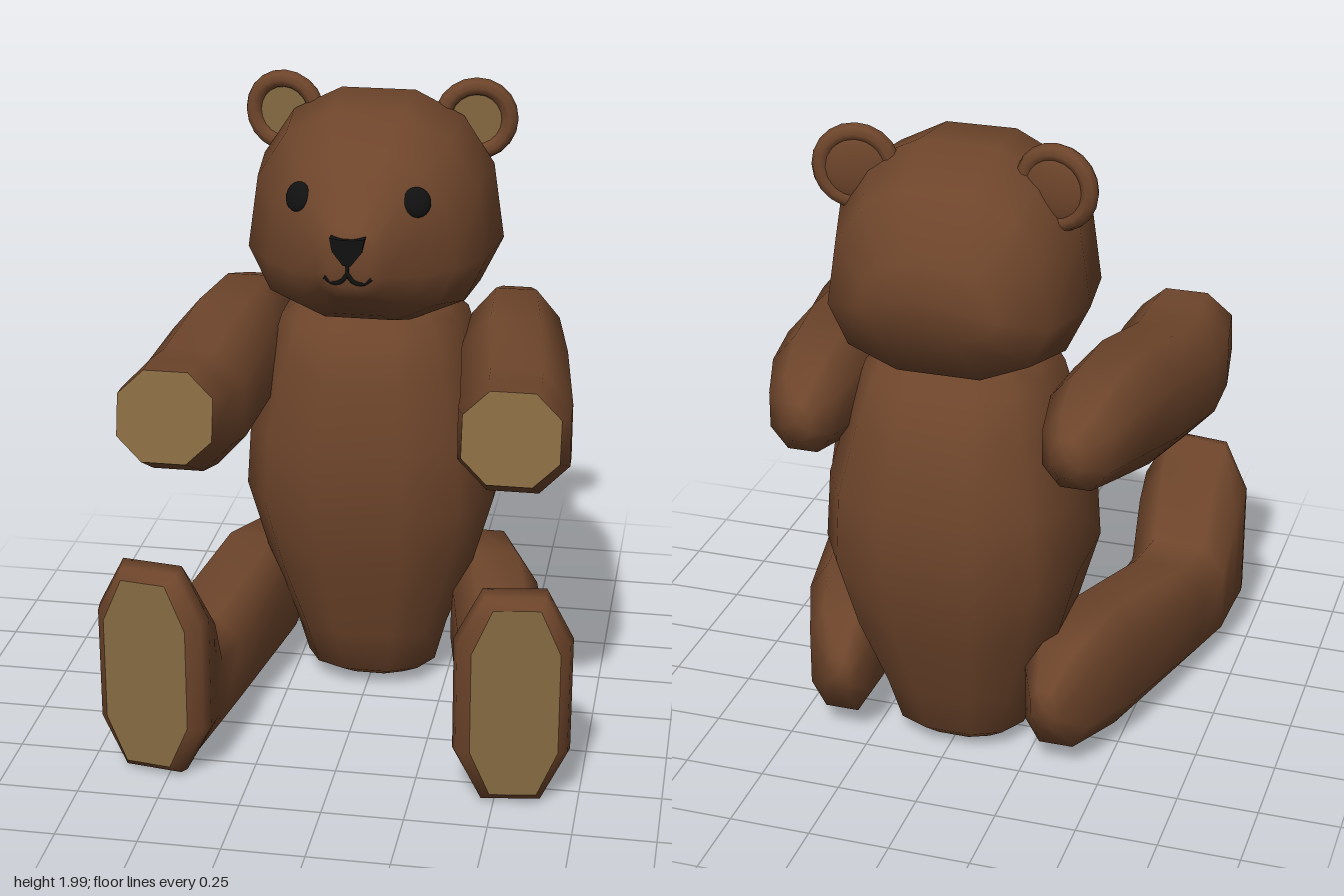
import * as THREE from 'three';

const fur = new THREE.MeshStandardMaterial({ color: 0x6e452b });
const felt = new THREE.MeshStandardMaterial({ color: 0x866a42, side: THREE.DoubleSide });
const black = new THREE.MeshStandardMaterial({ color: 0x111111 });

// Rounded ring around +z. Section: [z, cx, cy, rx, ry, pitch, yaw]
function ring([z, cx, cy, rx, ry, pitch = 0, yaw = 0], { sides, power, taper = 0 }) {
  const bend = (v) => Math.sign(v) * Math.abs(v) ** (2 / power);
  const step = (Math.PI * 2) / sides;
  const max = bend(Math.cos(step / 2));
  return Array.from({ length: sides }, (_, i) => {
    const v = bend(Math.sin((i + 0.5) * step)) / max;
    const u = (bend(Math.cos((i + 0.5) * step)) / max) * (1 - taper * v);
    return new THREE.Vector3(cx + rx * u, cy + ry * v, z - ry * v * pitch - rx * u * yaw);
  });
}

// Smooth skin through the sections, with closed ends
function loft(sections, shape, openEnd = false) {
  const n = shape.sides, last = sections.length - 1;
  const points = sections.flatMap((s) => ring(s, shape));
  const index = [];
  for (let k = 0; k < last; k++) {
    for (let i = 0; i < n; i++) {
      const j = (i + 1) % n;
      const a = k * n + i, b = k * n + j;
      index.push(a, b, a + n, b, b + n, a + n);
    }
  }
  const cap = (s, k, flip) => {
    const c = points.length;
    points.push(new THREE.Vector3(s[1], s[2], s[0]));
    for (let i = 0; i < n; i++) {
      const a = k * n + i, b = k * n + ((i + 1) % n);
      index.push(c, flip ? b : a, flip ? a : b);
    }
  };
  cap(sections[0], 0, true);
  if (!openEnd) cap(sections[last], last, false);
  const g = new THREE.BufferGeometry().setFromPoints(points);
  g.setIndex(index);
  g.computeVertexNormals();
  return g;
}

// Flat felt pad filling one section
function padGeometry(section, shape) {
  const pts = ring(section, shape);
  const index = [];
  for (let i = 1; i < pts.length - 1; i++) index.push(0, i, i + 1);
  const g = new THREE.BufferGeometry().setFromPoints(pts);
  g.setIndex(index);
  g.computeVertexNormals();
  return g;
}

function add(parent, name, geometry, material) {
  const mesh = new THREE.Mesh(geometry, material);
  mesh.name = name;
  parent.add(mesh);
  return mesh;
}

// Limb running forward, ending in a felt pad
function limb(parent, name, sections, shape, side) {
  const group = new THREE.Group();
  group.name = name;
  const s = sections.map(([z, cx, cy, rx, ry, p = 0, w = 0]) => [z, cx * side, cy, rx, ry, p, w * side]);
  add(group, name + 'Fur', loft(s, shape, true), fur);
  add(group, name + 'Pad', padGeometry(s[s.length - 1], shape), felt);
  parent.add(group);
}

export function createModel() {
  const bear = new THREE.Group();
  bear.name = 'teddyBear';

  // Body, lofted upward: [y, 0, -z, half width, half depth]
  const body = loft([
    [0.02, 0, 0.26, 0.14, 0.12],
    [0.07, 0, 0.25, 0.21, 0.19],
    [0.22, 0, 0.25, 0.25, 0.24],
    [0.45, 0, 0.26, 0.335, 0.315],
    [0.68, 0, 0.265, 0.4, 0.365],
    [0.9, 0, 0.265, 0.385, 0.365],
    [1.12, 0, 0.255, 0.325, 0.325],
    [1.26, 0, 0.245, 0.285, 0.25],
    [1.31, 0, 0.24, 0.22, 0.18],
  ], { sides: 12, power: 2.5 });
  add(bear, 'body', body.rotateX(-Math.PI / 2), fur);

  // Head with muzzle, from back to front
  add(bear, 'head', loft([
    [-0.6, 0, 1.585, 0.2, 0.11],
    [-0.5, 0, 1.6, 0.32, 0.28],
    [-0.3, 0, 1.62, 0.38, 0.34],
    [-0.08, 0, 1.615, 0.355, 0.325],
    [0.05, 0, 1.59, 0.275, 0.26],
    [0.13, 0, 1.57, 0.19, 0.2],
    [0.245, 0, 1.565, 0.1, 0.105],
    [0.27, 0, 1.575, 0.06, 0.07],
  ], { sides: 12, power: 2.5, taper: 0.13 }), fur);

  for (const side of [1, -1]) {
    const label = side > 0 ? 'left' : 'right';

    limb(bear, label + 'Arm', [
      [-0.59, 0.41, 1.15, 0.045, 0.06],
      [-0.52, 0.42, 1.145, 0.1, 0.12],
      [-0.35, 0.435, 1.15, 0.14, 0.165],
      [-0.1, 0.46, 1.115, 0.165, 0.195],
      [0.2, 0.5, 1.065, 0.17, 0.185],
      [0.34, 0.51, 1.09, 0.168, 0.175],
      [0.47, 0.515, 1.135, 0.145, 0.135, 0.22],
    ], { sides: 8, power: 2.3 }, side);

    // Leg and upright foot in one skin
    limb(bear, label + 'Leg', [
      [-0.52, 0.33, 0.26, 0.04, 0.06],
      [-0.44, 0.35, 0.26, 0.1, 0.17],
      [-0.2, 0.4, 0.255, 0.14, 0.21],
      [0.25, 0.5, 0.2, 0.15, 0.18],
      [0.39, 0.53, 0.2, 0.155, 0.19],
      [0.47, 0.54, 0.315, 0.168, 0.305, 0, 0.1],
      [0.55, 0.545, 0.355, 0.175, 0.345, 0, 0.15],
      [0.59, 0.55, 0.355, 0.165, 0.335, 0, 0.15],
      [0.62, 0.56, 0.355, 0.13, 0.305, 0, 0.15],
    ], { sides: 8, power: 2.8 }, side);

    // Ear: round rim, felt lining, domed back
    const ear = new THREE.Group();
    ear.name = label + 'Ear';
    ear.position.set(0.3 * side, 1.868, -0.33);
    ear.rotation.y = 0.17 * side;
    add(ear, 'earRim', new THREE.TorusGeometry(0.103, 0.028, 8, 20), fur);
    add(ear, 'earLining', new THREE.CircleGeometry(0.1, 20), felt).position.z = 0.008;
    add(ear, 'earBack', new THREE.SphereGeometry(0.11, 16, 8, 0, Math.PI * 2, 0, Math.PI / 2)
      .rotateX(-Math.PI / 2).scale(1, 1, 0.32), fur);
    bear.add(ear);

    // Eye, lying on the slope of the face
    const eye = add(bear, label + 'Eye', new THREE.SphereGeometry(0.046, 16, 10), black);
    eye.scale.z = 0.4;
    eye.position.set(0.178, 1.72, 0.095);
    eye.position.x *= side;
    eye.rotation.set(-0.35, 0.5 * side, 0, 'YXZ');

    // Half of the mouth
    const smile = new THREE.CatmullRomCurve3([[0, 1.545, 0.272], [0.018, 1.522, 0.272],
      [0.045, 1.515, 0.265], [0.07, 1.53, 0.26]].map(([x, y, z]) => new THREE.Vector3(x * side, y, z)));
    add(bear, label + 'Mouth', new THREE.TubeGeometry(smile, 10, 0.007, 6), black);
  }

  // Nose and the seam below it
  const nose = new THREE.Shape();
  nose.moveTo(-0.052, 1.655);
  nose.quadraticCurveTo(0, 1.645, 0.052, 1.655);
  nose.lineTo(0.045, 1.615);
  nose.lineTo(0.012, 1.572);
  nose.lineTo(-0.012, 1.572);
  nose.lineTo(-0.045, 1.615);
  const noseGeometry = new THREE.ExtrudeGeometry(nose, { depth: 0.035, bevelEnabled: false });
  add(bear, 'nose', noseGeometry, black).position.z = 0.245;
  add(bear, 'noseSeam', new THREE.CylinderGeometry(0.006, 0.006, 0.04, 6), black).position.set(0, 1.56, 0.272);

  return bear;
}
